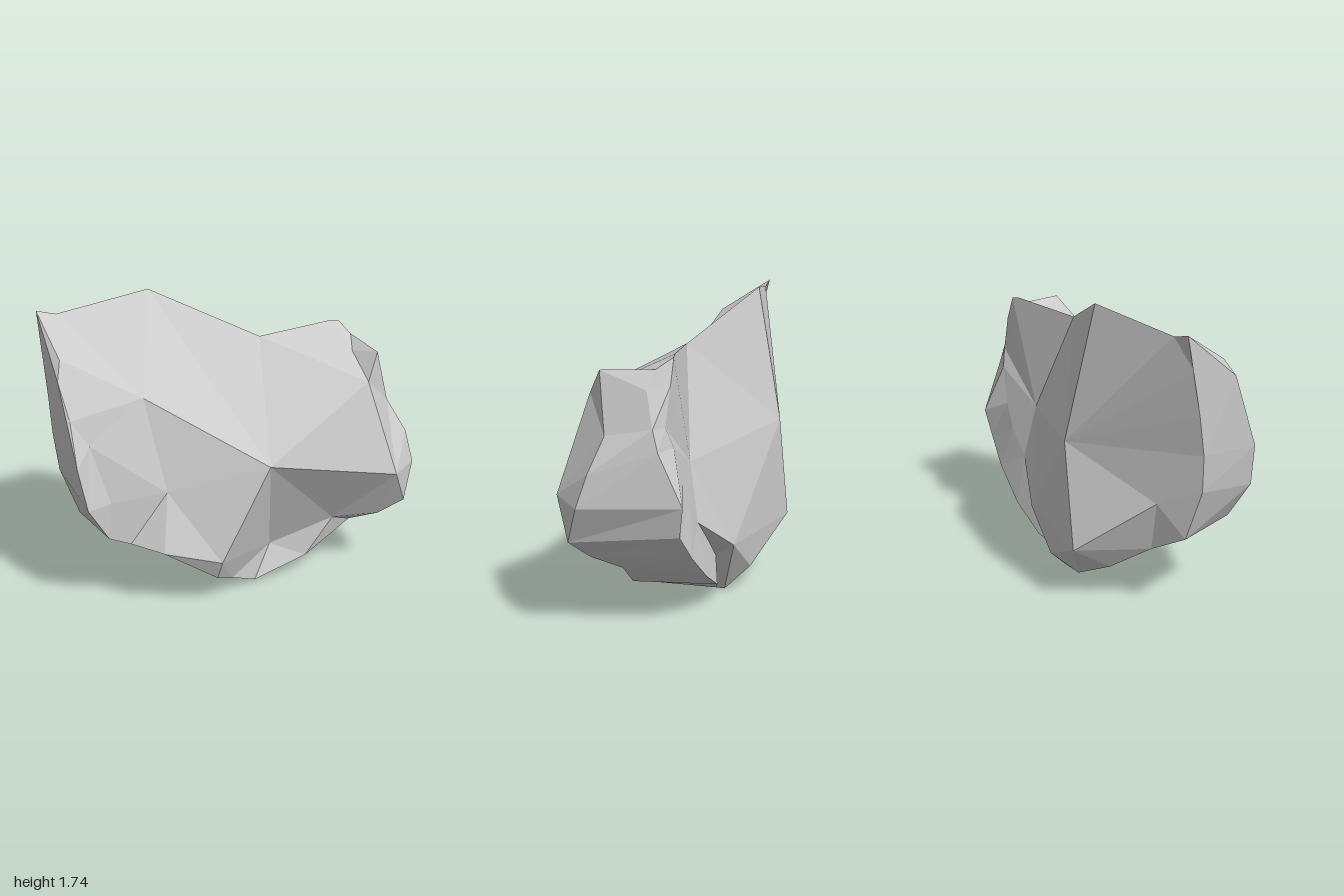
import * as THREE from 'three';

// Ridge along the top, shared by the front and the back
const peak = [-0.30, 1.74, -0.41], ridgeLeft = [-0.86, 1.68, -0.42];
const ridgeRight = [0.23, 1.48, -0.04], ridgeEnd = [0.71, 1.50, -0.03];

// Rim cross-sections, running from the upper -x corner, under the rock, to the upper +x corner
const frontRim = [ridgeLeft,
  [-0.96, 1.52, -0.14], [-0.98, 1.22, 0.02], [-0.89, 1.07, 0.06], [-0.80, 0.72, 0.12], [-0.70, 0.45, 0.15],
  [-0.56, 0.42, 0.30], [-0.24, 0.19, 0.33], [-0.10, 0.11, 0.25], [0.08, 0.02, 0.20], [0.40, 0.13, 0.25],
  [0.70, 0.31, 0.26], [0.80, 0.40, 0.42], [0.91, 0.51, 0.52], [1.0, 0.72, 0.46], [0.98, 0.90, 0.40],
  [0.89, 1.09, 0.32], [0.78, 1.42, 0.36], [0.72, 1.38, 0.19], ridgeEnd, ridgeRight];
const outerRim = [ridgeLeft,
  [-0.97, 1.71, -0.44], [-1.0, 1.42, -0.08], [-0.99, 0.97, 0.12], [-0.95, 0.72, 0.15], [-0.82, 0.50, 0.12],
  [-0.60, 0.38, 0.08], [-0.32, 0.21, 0.08], [-0.11, 0.08, 0.05], [0.10, 0.005, -0.20], [0.36, 0.115, -0.23],
  [0.59, 0.24, -0.19], [0.80, 0.41, -0.13], [0.93, 0.56, -0.08], [0.97, 0.73, -0.10], [0.96, 1.02, 0.03],
  [0.94, 1.14, 0.06], [0.86, 1.33, 0.10], [0.79, 1.43, 0.06], ridgeEnd, ridgeRight];
const backRim = [ridgeLeft,
  [-0.96, 1.50, -0.37], [-0.97, 1.25, -0.33], [-0.97, 1.02, -0.29], [-0.95, 0.80, -0.27], [-0.84, 0.49, -0.27],
  [-0.62, 0.37, -0.30], [-0.40, 0.22, -0.40], [-0.16, 0.10, -0.41], [0.10, 0.0, -0.25], [0.24, 0.25, -0.21],
  [0.40, 0.39, -0.18], [0.57, 0.54, -0.14], [0.70, 0.68, -0.11], [0.78, 0.82, -0.08], [0.85, 1.03, -0.04],
  [0.88, 1.14, 0.0], [0.82, 1.35, -0.02], [0.76, 1.49, -0.03], ridgeEnd, ridgeRight];

// Fan of facets from a hub to the points round it
function fan(hub, ring, flip = false) {
  const out = [];
  for (let i = 0; i < ring.length - 1; i++) {
    out.push(flip ? [hub, ring[i + 1], ring[i]] : [hub, ring[i], ring[i + 1]]);
  }
  return out;
}

// Strip of facets between two rims, skipping collapsed ones
function strip(a, b) {
  const out = [];
  for (let i = 0; i < a.length - 1; i++) {
    out.push([a[i], b[i], b[i + 1]], [a[i], b[i + 1], a[i + 1]]);
  }
  return out.filter(([p, q, r]) => p !== q && q !== r && p !== r);
}

function facetMesh(name, triangles, material) {
  const geometry = new THREE.BufferGeometry();
  geometry.setAttribute('position', new THREE.Float32BufferAttribute(triangles.flat(2), 3));
  geometry.computeVertexNormals();
  const mesh = new THREE.Mesh(geometry, material);
  mesh.name = name;
  return mesh;
}

export function createModel() {
  const group = new THREE.Group();
  group.name = 'rock';
  const material = new THREE.MeshStandardMaterial({ color: 0xcccccc, flatShading: true });
  const F = frontRim, B = backRim;

  // Front: broad facets meeting at a few raised corners
  const upper = [-0.55, 1.28, 0.04], lower = [-0.49, 0.75, 0.20], nose = [0.04, 0.89, 0.44];
  const knob = [-0.24, 0.32, 0.39], chin = [0.20, 0.22, 0.16], jaw = [0.56, 0.37, 0.29];
  const shoulder = [0.79, 0.74, 0.60], brow = [0.68, 1.28, 0.43];
  group.add(facetMesh('frontFace', [
    ...fan(upper, [peak, ridgeLeft, F[1], F[2], F[3], lower, nose, peak]),
    ...fan(lower, [...F.slice(3, 7), knob, nose]),
    ...fan(knob, [F[6], F[7], F[8], chin]),
    ...fan(nose, [knob, chin, jaw, shoulder, brow, ridgeRight, peak]),
    ...fan(chin, [...F.slice(8, 11), jaw]),
    ...fan(jaw, [F[10], F[11], F[12], shoulder]),
    ...fan(shoulder, [...F.slice(12, 17), brow]),
    ...fan(brow, F.slice(16)),
  ], material));

  // Sides and underside
  group.add(facetMesh('rim', [...strip(F, outerRim), ...strip(outerRim, B)], material));

  // Back: facets round a central ridge
  const spine = [-0.20, 0.97, -0.55], heel = [-0.31, 0.36, -0.60], flank = [-0.71, 0.69, -0.36];
  const foot = [0.08, 0.14, -0.40], hip = [0.32, 0.34, -0.32], hollow = [0.51, 0.87, -0.09];
  group.add(facetMesh('backFace', [
    ...fan(spine, [ridgeRight, peak, ...B.slice(0, 4), flank, heel, hip, hollow, ridgeRight], true),
    ...fan(flank, [...B.slice(3, 7), heel], true),
    ...fan(heel, [B[6], B[7], B[8], foot, hip], true),
    ...fan(foot, [B[8], B[9], hip], true),
    ...fan(hip, [...B.slice(9, 13), hollow], true),
    ...fan(hollow, B.slice(12), true),
  ], material));

  return group;
}
